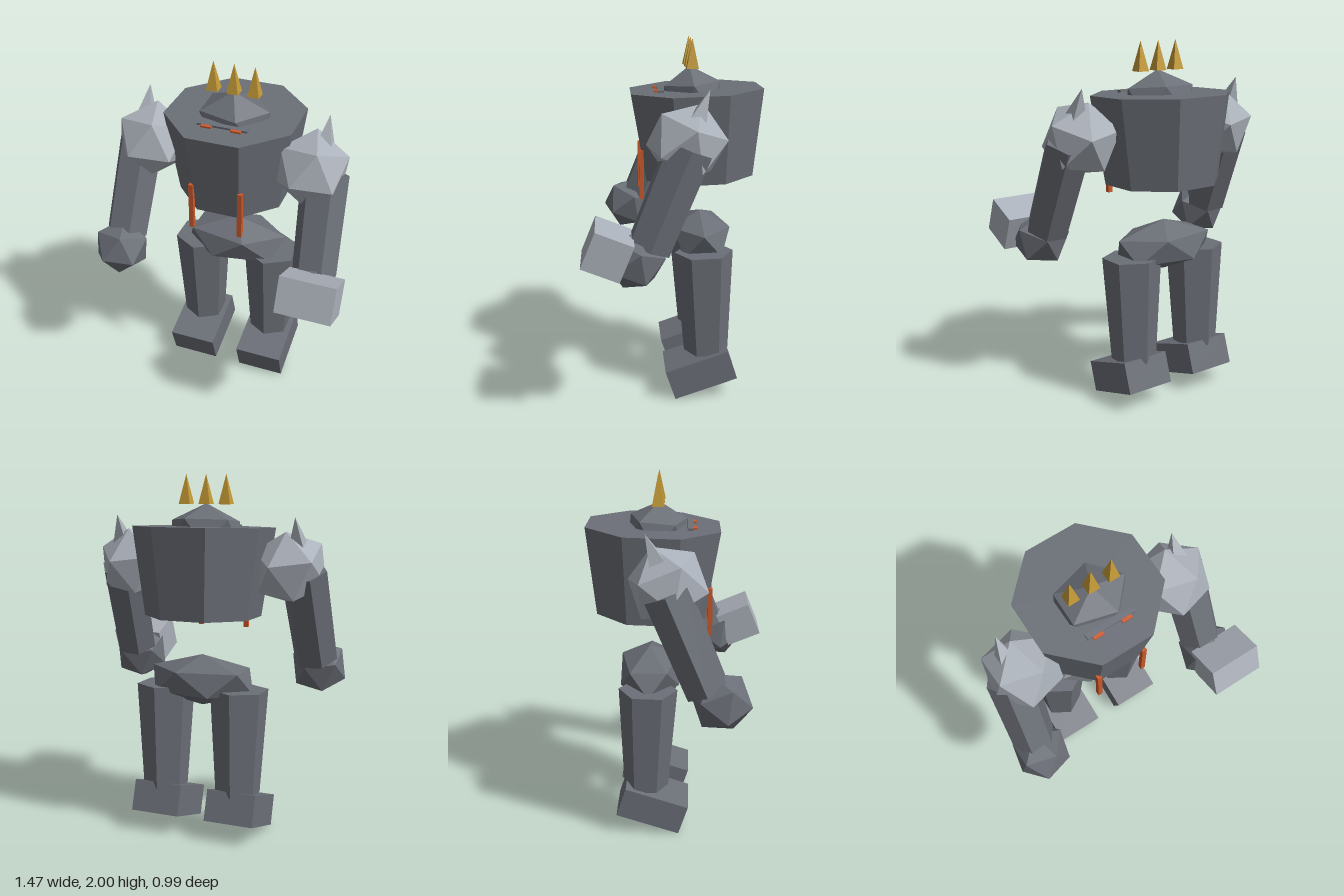
import * as THREE from 'three';

export function createModel() {
  const model = new THREE.Group();
  const paint = (name, color) => {
    const m = new THREE.MeshStandardMaterial({ color, flatShading: true });
    m.name = name;
    return m;
  };
  const iron = paint('dark iron', 0x6b6f77);
  const steel = paint('light steel', 0xabb1ba);
  const gold = paint('gold', 0xc59a36);
  const glow = paint('ember orange', 0xcb5a2c);

  const MID = -0.02;   // body axis
  const SWING = -0.39; // forward swing of the arms

  const add = (name, geometry, material, x, y, z, rx = 0, rz = 0) => {
    const mesh = new THREE.Mesh(geometry, material);
    mesh.name = name;
    mesh.position.set(x, y, z);
    mesh.rotation.set(rx, 0, rz);
    model.add(mesh);
    return mesh;
  };
  const box = (w, h, d) => new THREE.BoxGeometry(w, h, d);
  // Faceted ball with a corner at the top and one of the upper ring on +x
  const ball = (rx, ry = rx, rz = rx) =>
    new THREE.IcosahedronGeometry(1, 0)
      .rotateX(-Math.atan((1 + Math.sqrt(5)) / 2))
      .rotateY(Math.PI / 2)
      .scale(rx, ry, rz);
  const prism = (top, bottom, height, sides, turn = 0) =>
    new THREE.CylinderGeometry(top, bottom, height, sides).rotateY(turn);
  const spike = (radius, height) =>
    new THREE.ConeGeometry(radius, height, 4).rotateY(Math.PI / 4);

  // Body
  add('torso', prism(0.39, 0.32, 0.484, 8, Math.PI / 8), iron, MID, 1.478, -0.144, 0.035);
  add('pelvis', ball(0.335, 0.144, 0.194), iron, MID, 0.877, -0.165);

  // Head, crown and visor
  add('head', ball(0.224, 0.165, 0.18), iron, MID, 1.68, -0.118, 0.09);
  for (const i of [-1, 0, 1]) {
    add('crownSpike', spike(0.046, 0.16), gold, MID + i * 0.116, 1.92, -0.108);
  }
  add('visor', box(0.28, 0.06, 0.03), iron, MID, 1.695, 0.06, 0.09);

  for (const side of [-1, 1]) {
    const at = (offset) => MID + side * offset;

    add('eye', box(0.058, 0.03, 0.03), glow, at(0.083), 1.708, 0.08, 0.09);
    add('chestStrip', box(0.026, 0.27, 0.025), glow, at(0.14), 1.265, 0.171);

    // Leg and foot
    add('leg', prism(0.163, 0.126, 0.59, 6), iron, at(0.22), 0.545, -0.178, 0.03);
    add('foot', box(0.28, 0.174, 0.369), iron, at(0.22), 0.146, -0.149, 0.323);

    // Arm swung forward
    add('shoulder', ball(0.215), steel, at(0.46), 1.503, -0.05, SWING);
    add('shoulderSpike', spike(0.065, 0.18), steel, at(0.515), 1.695, -0.126, SWING);
    add('arm', prism(0.13, 0.123, 0.55, 6, Math.PI / 6), iron,
      at(0.55), 1.235, 0.048, SWING, side * 0.05);
    add('hand', ball(0.165), iron, at(0.566), 0.92, 0.225, SWING);
  }

  // Heavy block on the left fist
  add('fistBlock', box(0.305, 0.2, 0.209), steel, 0.581, 0.992, 0.364, SWING);

  return model;
}
